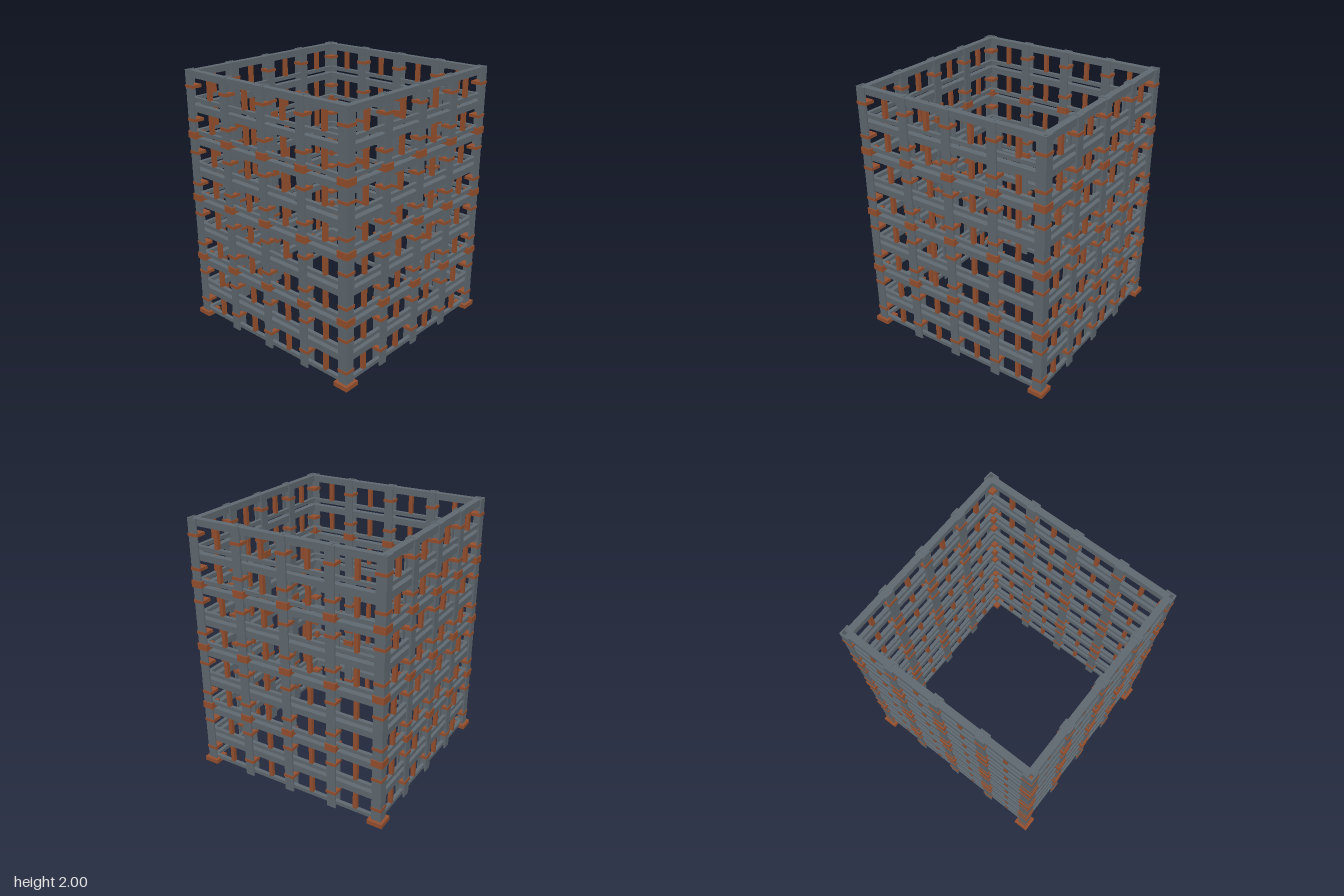
import * as THREE from 'three';

const steel = new THREE.MeshStandardMaterial({ color: 0x5f6970 });
steel.name = 'steel grey';
const rust = new THREE.MeshStandardMaterial({ color: 0x96502e });
rust.name = 'rust brown';

const HALF = 0.74;   // wall centre line
const BAY = 0.37;    // column spacing
const STOREY = 0.25; // rail spacing
const LEVELS = 8;

function add(parent, name, geometry, material, x, y, z) {
  const mesh = new THREE.Mesh(geometry, material);
  mesh.name = name;
  mesh.position.set(x, y, z);
  parent.add(mesh);
  return mesh;
}

// Upright rolled section: points are (x, z) seen from below, extruded up to y = 2
function upright(points) {
  const shape = new THREE.Shape(points.map(([x, z]) => new THREE.Vector2(x, -z)));
  const geometry = new THREE.ExtrudeGeometry(shape, { depth: 2, bevelEnabled: false });
  return geometry.rotateX(-Math.PI / 2);
}

const f = 0.036, t = 0.012, w = 0.006;
// I-section with its flanges parallel to the wall
const iSection = upright([
  [-f, f], [f, f], [f, f - t], [w, f - t], [w, t - f], [f, t - f],
  [f, -f], [-f, -f], [-f, t - f], [-w, t - f], [-w, f - t], [-f, f - t],
]);
// Angle section with its heel at +x, +z
const c = 0.0375, a = 0.011;
const angleSection = upright([[c, c], [c, -c], [c - a, -c], [c - a, c - a], [-c, c - a], [-c, c]]);

const wideRail = new THREE.BoxGeometry(HALF * 2, 0.05, 0.05);
const thinRail = new THREE.BoxGeometry(HALF * 2, 0.028, 0.03);
const strut = new THREE.BoxGeometry(0.03, 0.148, 0.03);
const band = new THREE.BoxGeometry(0.083, 0.023, 0.083);
const collar = new THREE.BoxGeometry(0.09, 0.052, 0.09);
const footPlate = new THREE.BoxGeometry(0.12, 0.034, 0.12);

// Bands at every level and heavier collars at every second one
function addClamps(parent, x, z) {
  for (let i = 0; i < LEVELS; i++) add(parent, 'band', band, rust, x, 0.13 + i * STOREY, z);
  for (let i = 1; i < 4; i++) add(parent, 'collar', collar, rust, x, 0.017 + i * 0.5, z);
}

// One wall, facing +z, with the corner post at its +x end
function makeWall() {
  const wall = new THREE.Group();
  for (let i = 0; i < LEVELS; i++) {
    const y = i * STOREY;
    add(wall, 'thinRail', thinRail, steel, 0, y + 0.035, HALF);
    const top = i === LEVELS - 1;
    add(wall, top ? 'topRail' : 'wideRail', wideRail, steel, 0, y + 0.221, HALF);
    // Struts between each thin rail and the wide rail above it
    for (let k = -1.5; k <= 1.5; k++) add(wall, 'strut', strut, rust, k * BAY, y + 0.1225, HALF);
  }
  for (let k = -1; k <= 1; k++) {
    add(wall, 'column', iSection, steel, k * BAY, 0, HALF);
    addClamps(wall, k * BAY, HALF);
  }
  const corner = new THREE.Group();
  corner.name = 'cornerPost';
  add(corner, 'angle', angleSection, steel, HALF, 0, HALF);
  add(corner, 'footPlate', footPlate, rust, HALF, 0.017, HALF);
  addClamps(corner, HALF, HALF);
  wall.add(corner);
  return wall;
}

export function createModel() {
  const model = new THREE.Group();
  model.name = 'latticeTower';
  ['frontWall', 'leftWall', 'backWall', 'rightWall'].forEach((name, i) => {
    const wall = makeWall();
    wall.name = name;
    wall.rotation.y = i * Math.PI / 2;
    model.add(wall);
  });
  return model;
}
